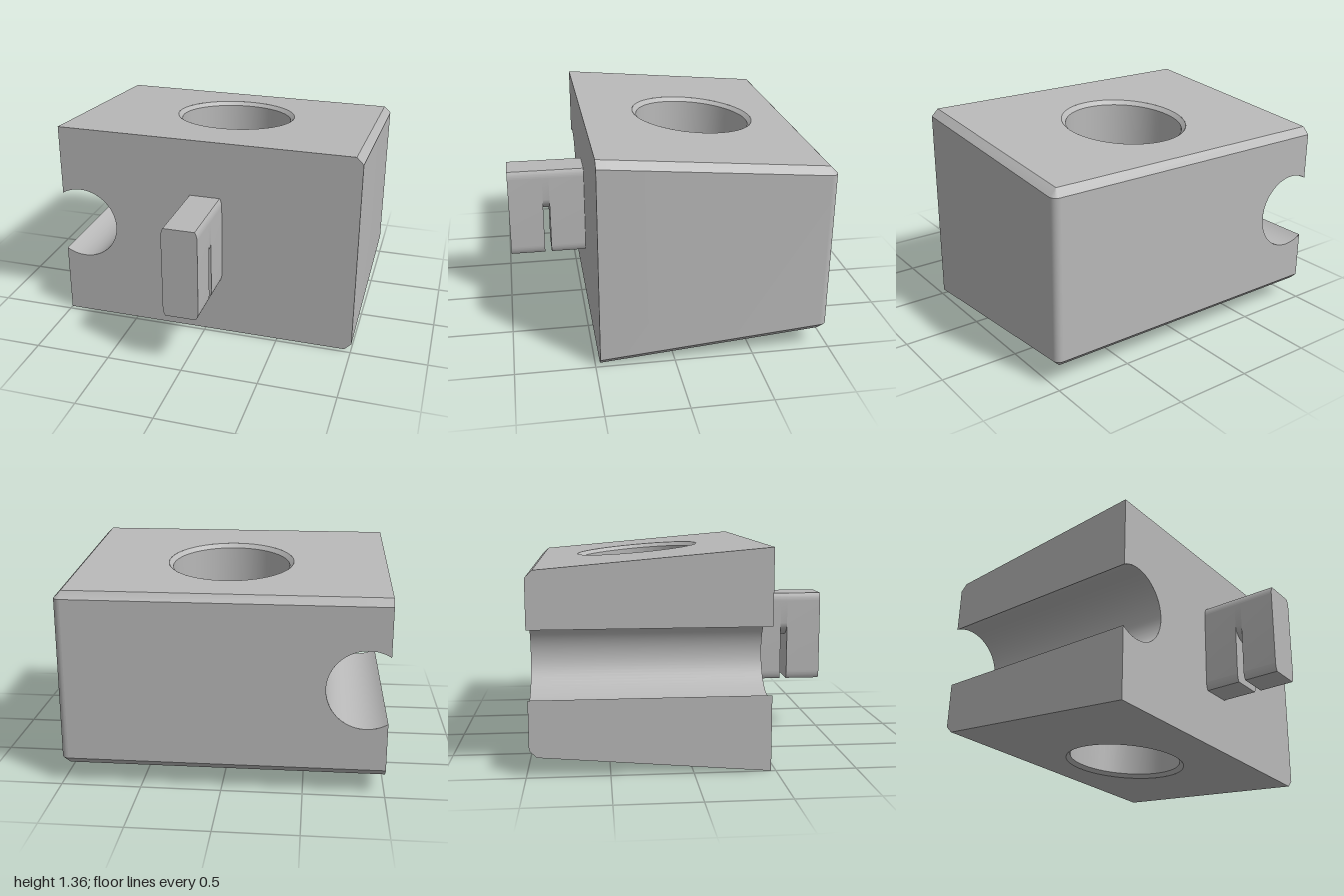
import * as THREE from 'three';
import { toCreasedNormals, mergeGeometries } from 'three/addons/utils/BufferGeometryUtils.js';

const H = 1.355, MID = H / 2;            // front height and symmetry plane
const ZF = 0.47, ZB = -0.98, C = 0.045;  // front, back, chamfer size
const GX = -0.87, GR = 0.245;            // side groove centre and radius
const PHI = Math.PI - Math.acos((1 + GX) / GR);
const HZ = -0.285;                       // centre of the upright hole
const topY = z => H - 0.0875 * (ZF - z); // sloping top; the bottom mirrors it

// Surface between two rows of points; the normal is (along row) x (a to b)
function strip(a, b) {
  const p = [];
  for (let i = 0; i < a.length - 1; i++) p.push(a[i], a[i + 1], b[i + 1], a[i], b[i + 1], b[i]);
  return new THREE.BufferGeometry().setFromPoints(p);
}

// Plain triangles with positions only
function bare(geo) {
  const g = geo.index ? geo.toNonIndexed() : geo;
  g.deleteAttribute('uv');
  g.deleteAttribute('normal');
  return g;
}

// Reverse the corner order of each triangle
function flip(geo) {
  const p = geo.attributes.position, u = new THREE.Vector3(), v = new THREE.Vector3();
  for (let i = 0; i < p.count; i += 3) {
    u.fromBufferAttribute(p, i);
    v.fromBufferAttribute(p, i + 2);
    p.setXYZ(i, v.x, v.y, v.z);
    p.setXYZ(i + 2, u.x, u.y, u.z);
  }
  return geo;
}

// A geometry together with its mirror image below the symmetry plane
const bothHalves = geo => mergeGeometries([geo, flip(geo.clone().scale(1, -1, 1).translate(0, H, 0))]);
const mirrored = row => row.map(p => new THREE.Vector3(p.x, H - p.y, p.z));

export function createModel() {
  const group = new THREE.Group();
  const grey = new THREE.MeshStandardMaterial({ color: 0xb8b8b8, side: THREE.DoubleSide });
  grey.name = 'grey';
  const add = (name, geo) => {
    const mesh = new THREE.Mesh(toCreasedNormals(bare(geo), 0.5), grey);
    mesh.name = name;
    group.add(mesh);
  };
  const V = (x, y, z) => new THREE.Vector3(x, y, z);

  // Front and back faces, notched by the side groove
  const notched = corners => {
    const s = new THREE.Shape(corners.map(([x, y]) => new THREE.Vector2(x, y)));
    s.lineTo(-1, MID + GR * Math.sin(PHI));
    s.absarc(GX, MID, GR, PHI, -PHI, true);
    return bare(new THREE.ShapeGeometry(s, 48));
  };
  const yb = topY(ZB + C) - C;
  add('frontFace', notched([[-1, 0], [1 - C, 0], [1, C], [1, H - C], [1 - C, H], [-1, H]]).translate(0, 0, ZF));
  add('backFace', flip(notched([[-1, H - yb], [1 - C, H - yb], [1 - C, yb], [-1, yb]]).translate(0, 0, ZB)));

  // Side groove
  const arc = z => Array.from({ length: 49 }, (_, i) => {
    const t = PHI * (i / 24 - 1);
    return V(GX + GR * Math.cos(t), MID + GR * Math.sin(t), z);
  });
  add('sideGroove', strip(arc(ZF), arc(ZB)));

  // Right-hand lips above and below the groove
  const zs = [ZB, ZB + C, ZF], lip = MID + GR * Math.sin(PHI);
  add('grooveLips', bothHalves(strip(zs.map(z => V(-1, lip, z)),
    zs.map(z => V(-1, z === ZB ? yb : topY(z), z)))));

  // Left wall with its rounded back corner, and the chamfer around it
  const rim = [V(1, H - C, ZF)], inset = [V(1 - C, H, ZF)];
  for (let i = 0; i <= 8; i++) {
    const t = i / 8 * Math.PI / 2;
    rim.push(V(1 - C + C * Math.cos(t), yb, ZB + C - C * Math.sin(t)));
    inset.push(V(1 - C, yb + C, ZB + C));
  }
  add('leftWall', strip(mirrored(rim), rim));
  rim.push(V(-1, yb, ZB));
  inset.push(V(-1, yb + C, ZB + C));
  add('edgeChamfers', bothHalves(strip(rim, inset)));

  // Sloping top and bottom plates with the round opening
  const plate = new THREE.Shape([[-1, -ZF], [1 - C, -ZF], [1 - C, -ZB - C], [-1, -ZB - C]]
    .map(([x, y]) => new THREE.Vector2(x, y)));
  plate.holes.push(new THREE.Path().absarc(0, -HZ, 0.405, 0, Math.PI * 2, true));
  const slope = bare(new THREE.ShapeGeometry(plate, 64).rotateX(-Math.PI / 2));
  const p = slope.attributes.position;
  for (let i = 0; i < p.count; i++) p.setY(i, topY(p.getZ(i)));
  add('topAndBottom', bothHalves(slope));

  // Upright through hole with countersunk rims
  const ring = (r, drop) => Array.from({ length: 65 }, (_, i) => {
    const t = i / 64 * Math.PI * 2, z = HZ - r * Math.sin(t);
    return V(r * Math.cos(t), topY(z) - drop, z);
  });
  const throat = ring(0.378, 0.025);
  add('holeRims', bothHalves(strip(ring(0.405, 0), throat)));
  add('holeWall', strip(throat, mirrored(throat)));

  // Front tongue: three slices, the middle one cut from below by an arched slot
  const W = 0.115, Y0 = 0.377, Y1 = 0.978;
  const slice = (slotted, z0, z1) => {
    const s = new THREE.Shape();
    if (slotted) {
      s.moveTo(-W, 0.78);
      s.absellipse(0, 0.78, W, 0.1, Math.PI, Math.PI * 2, false);
    } else {
      s.moveTo(-W, Y0 + 0.055);
      s.quadraticCurveTo(-W, Y0 + 0.025, -0.1, Y0);
      s.lineTo(0.1, Y0);
      s.quadraticCurveTo(W, Y0 + 0.025, W, Y0 + 0.055);
    }
    s.lineTo(W, Y1 - 0.055);
    s.quadraticCurveTo(W, Y1 - 0.025, 0.1, Y1);
    s.lineTo(-0.1, Y1);
    s.quadraticCurveTo(-W, Y1 - 0.025, -W, Y1 - 0.055);
    return new THREE.ExtrudeGeometry(s, { depth: z1 - z0, bevelEnabled: false, curveSegments: 16 })
      .translate(0, 0, z0);
  };
  add('tongueBase', slice(false, ZF, 0.705));
  add('tongueSlotBridge', slice(true, 0.705, 0.75));
  add('tongueTip', slice(false, 0.75, 0.98));

  return group;
}
